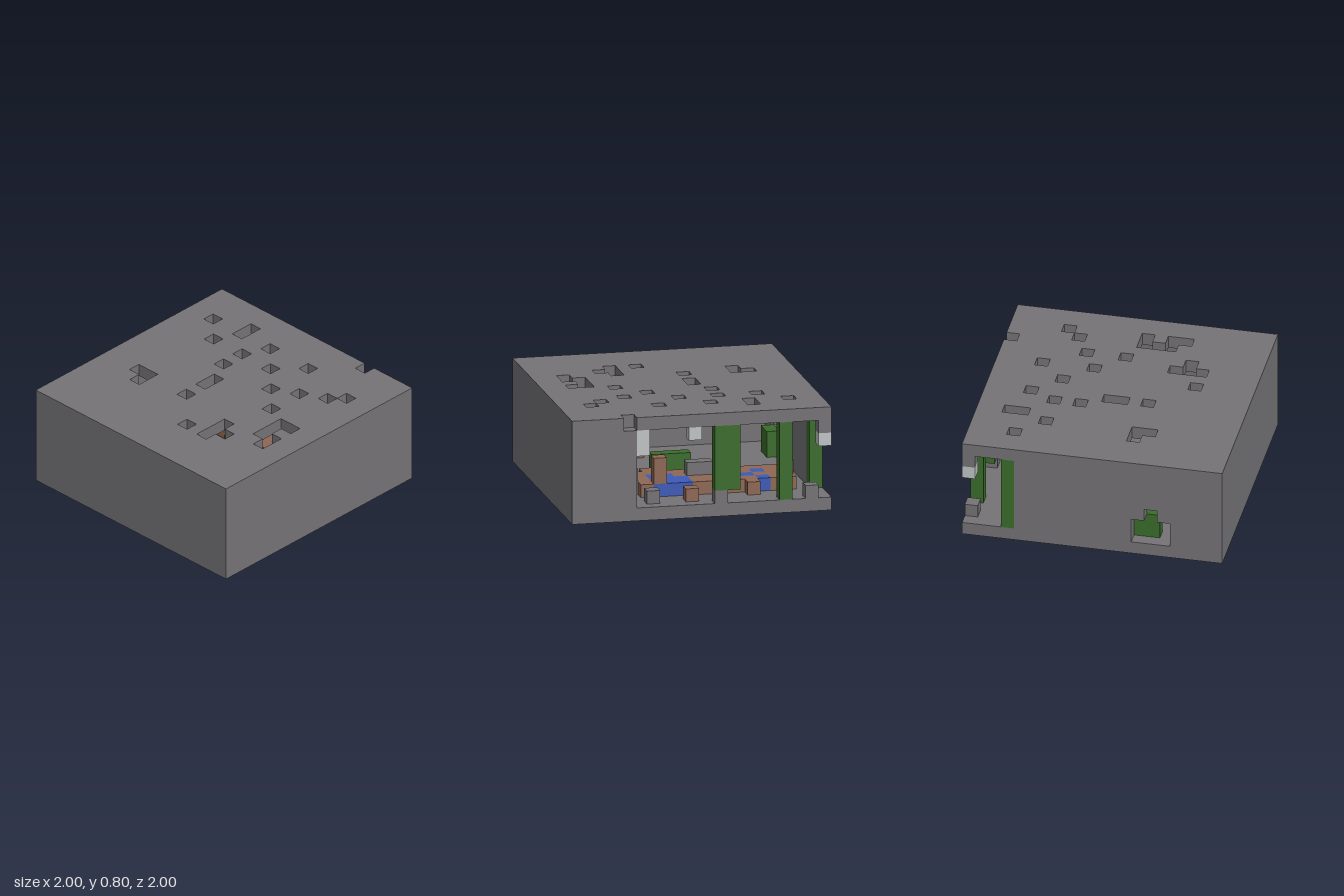
import * as THREE from 'three';

const NX = 20, NY = 8, NZ = 20, S = 0.1;

const colours = { stone: 0x757376, dirt: 0x8e6854, water: 0x3c5ab8, quartz: 0xc0c4c4, vine: 0x3b6d2b, poolBed: 0x4c8c78 };
const partNames = { stone: 'caveRock', dirt: 'dirtFloor', water: 'pools', quartz: 'paleCrystals', vine: 'vines', poolBed: 'poolBeds' };

// Cell grid of kinds; fill covers [x, y, z] cells over a [w, h, d] size
function makeGrid() {
  const cells = new Map();
  const key = (x, y, z) => (x * NY + y) * NZ + z;
  const inside = (x, y, z) => x >= 0 && y >= 0 && z >= 0 && x < NX && y < NY && z < NZ;
  return {
    get: (x, y, z) => (inside(x, y, z) ? cells.get(key(x, y, z)) : undefined),
    fill(kind, x, y, z, w = 1, h = 1, d = 1) {
      for (let i = x; i < x + w; i++)
        for (let j = y; j < y + h; j++)
          for (let k = z; k < z + d; k++)
            if (kind) cells.set(key(i, j, k), kind);
            else cells.delete(key(i, j, k));
    },
  };
}

// Outer faces of all cells of one kind
function kindGeometry(grid, kind) {
  const pos = [], nor = [];
  const corners = [[0, 0], [1, 0], [1, 1], [0, 0], [1, 1], [0, 1]];
  for (let x = 0; x < NX; x++)
    for (let y = 0; y < NY; y++)
      for (let z = 0; z < NZ; z++) {
        if (grid.get(x, y, z) !== kind) continue;
        for (let axis = 0; axis < 3; axis++)
          for (const side of [1, -1]) {
            const n = [0, 0, 0];
            n[axis] = side;
            if (grid.get(x + n[0], y + n[1], z + n[2])) continue;
            const u = (axis + 1) % 3, v = (axis + 2) % 3;
            for (const [a, b] of corners) {
              const p = [x, y, z];
              p[axis] += side > 0 ? 1 : 0;
              p[u] += side > 0 ? a : b;
              p[v] += side > 0 ? b : a;
              pos.push(p[0] * S - 1, p[1] * S, p[2] * S - 1);
              nor.push(...n);
            }
          }
      }
  const geo = new THREE.BufferGeometry();
  geo.setAttribute('position', new THREE.Float32BufferAttribute(pos, 3));
  geo.setAttribute('normal', new THREE.Float32BufferAttribute(nor, 3));
  return geo;
}

export function createModel() {
  const g = makeGrid();

  // Hollow rock shell with its open back corner
  g.fill('stone', 0, 0, 0, NX, NY, NZ);
  g.fill(null, 1, 1, 1, 18, 6, 17);
  g.fill(null, 0, 1, 0, 15, 6, 1);
  g.fill(null, 0, 1, 0, 1, 6, 4);

  // Small side window
  g.fill(null, 0, 1, 13, 1, 2, 3);
  g.fill(null, 0, 3, 14);

  // Roof holes: x, z, width, depth
  const holes = [
    [2, 3], [5, 2, 1, 2], [8, 3], [12, 3], [4, 5], [7, 5], [10, 5], [12, 7], [11, 15],
    [17, 4], [13, 13, 1, 3], [14, 14], [15, 0], [16, 5], [14, 6], [7, 7], [8, 9, 1, 2],
    [8, 12], [14, 9], [16, 10, 2, 1], [16, 11, 1, 2], [17, 12, 1, 2], [3, 12, 2, 1], [4, 13],
  ];
  for (const [x, z, w = 1, d = 1] of holes) g.fill(null, x, 7, z, w, 1, d);

  // Dirt floor and loose clods
  g.fill('dirt', 2, 1, 3, 12, 1, 4);
  for (const [x, y, z] of [[2, 1, 3], [5, 1, 2], [10, 1, 1], [12, 1, 7], [11, 1, 15], [6, 2, 6], [2, 2, 4]])
    g.fill('dirt', x, y, z);

  // Pools with their beds below
  const pools = [[10, 3, 3, 2], [11, 5, 2, 1], [5, 4, 2, 1], [4, 5], [4, 3]];
  for (const [x, z, w = 1, d = 1] of pools) {
    g.fill('water', x, 1, z, w, 1, d);
    g.fill('poolBed', x, 0, z, w, 1, d);
  }
  g.fill('dirt', 12, 2, 3, 1, 2, 1);

  // Boulders and sill stones
  for (const [x, y, z, w = 1, h = 1] of [
    [8, 1, 0], [1, 1, 0], [13, 1, 1], [8, 2, 5, 2], [14, 1, 4, 1, 2], [15, 1, 5], [0, 6, 0],
  ]) g.fill('stone', x, y, z, w, h);

  // Pale crystals
  for (const [x, y, z, h] of [[14, 5, 0, 2], [10, 6, 0, 1], [0, 5, 0, 1], [17, 1, 4, 2], [13, 1, 14, 2]])
    g.fill('quartz', x, y, z, 1, h);

  // Hanging vines and bushes
  for (const [x, y, z, w, h, d] of [
    [7, 2, 0, 2, 5, 1], [3, 1, 0, 1, 6, 1], [0, 1, 3, 1, 6, 1],
    [17, 1, 5, 1, 2, 1], [16, 1, 10, 1, 2, 1], [9, 1, 8, 3, 2, 1], [1, 1, 13, 1, 2, 2],
  ]) g.fill('vine', x, y, z, w, h, d);

  const model = new THREE.Group();
  model.name = 'caveBlock';
  for (const [kind, color] of Object.entries(colours)) {
    const material = new THREE.MeshStandardMaterial({ color });
    material.name = kind;
    const mesh = new THREE.Mesh(kindGeometry(g, kind), material);
    mesh.name = partNames[kind];
    model.add(mesh);
  }
  return model;
}
